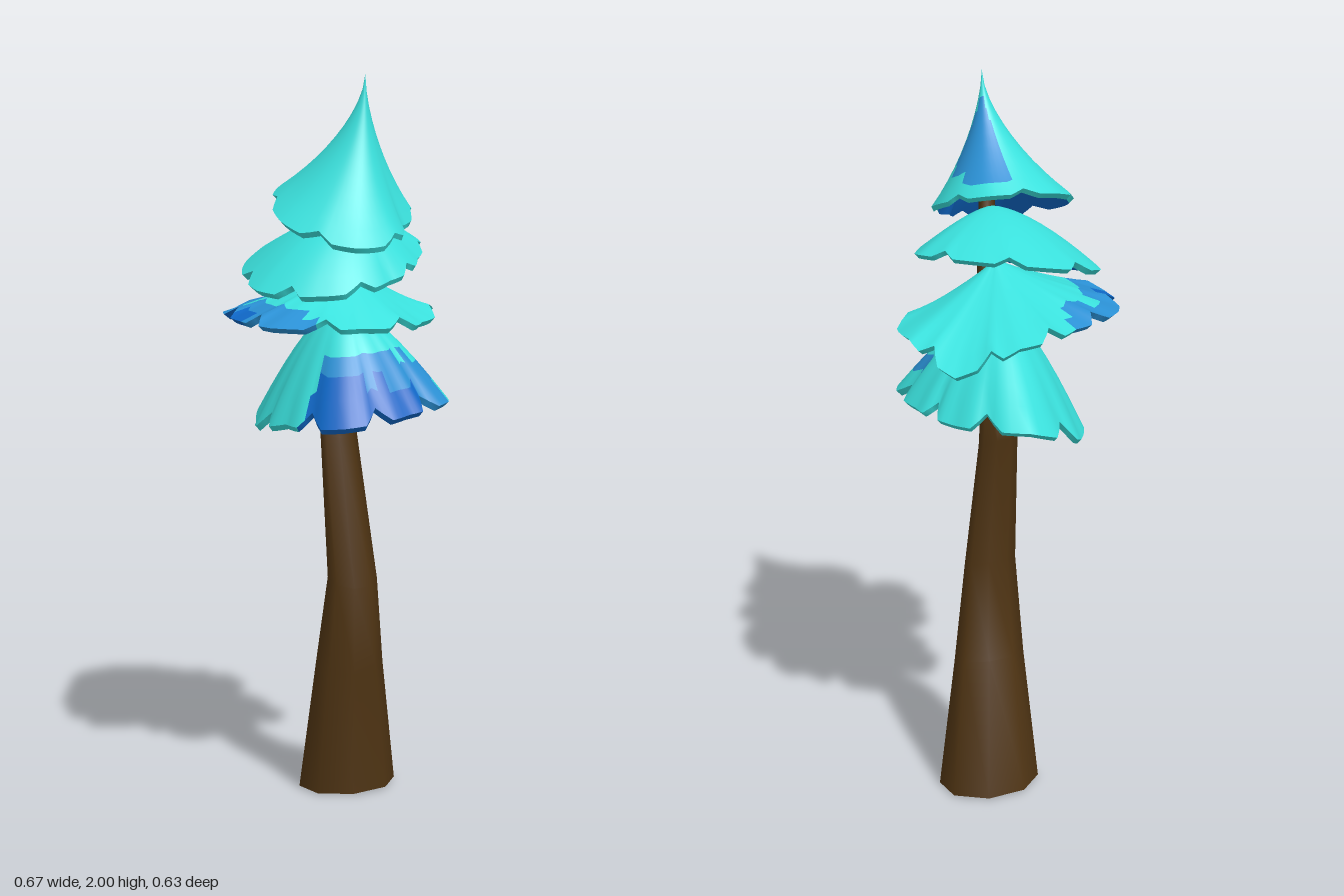
import * as THREE from 'three';

const mat = (name, color) => {
  const m = new THREE.MeshStandardMaterial({ color });
  m.name = name;
  return m;
};

// Surface over rows of closed rings; pick(centre) returns the material slot of each quad
function loft(rings, flip, pick = () => 0) {
  const n = rings[0].length;
  const lists = [[], [], []];
  for (let i = 0; i < rings.length - 1; i++) {
    for (let j = 0; j < n; j++) {
      const k = (j + 1) % n;
      const a = i * n + j, b = i * n + k, c = a + n, d = b + n;
      const mid = rings[i][j].clone().lerp(rings[i + 1][k], 0.5);
      lists[pick(mid)].push(...(flip ? [c, a, d, d, a, b] : [c, d, a, d, b, a]));
    }
  }
  const g = new THREE.BufferGeometry().setFromPoints(rings.flat());
  g.setIndex(lists.flat());
  let start = 0;
  lists.forEach((l, s) => {
    if (l.length) g.addGroup(start, l.length, s);
    start += l.length;
  });
  g.computeVertexNormals();
  return g;
}

// Leaf tiers. tips: lobe [x, z, extra height], from +x round by the back.
// tilt: rim height, slope along x, slope along z. power: below 1 flares out, above 1 is domed.
const TIERS = [
  {
    name: 'topLeaves', apex: [0, 2, 0.155], tilt: [1.685, 0.1, -0.36], power: 0.6, notch: 0.07,
    tips: [[0.16, 0.1], [0.09, -0.055], [-0.11, -0.075], [-0.24, 0.11], [-0.14, 0.305], [0.06, 0.24]],
    pick: (p) => (p.y > 1.74 && p.y < 1.92 && p.x > 0.005 && p.z < 0.14 ? 1 : 0),
  },
  {
    name: 'upperLeaves', apex: [0, 1.64, 0.1], tilt: [1.51, 0.2, -0.17], power: 1.6, notch: 0.08,
    tips: [[0.25, 0.04], [0.17, -0.11], [-0.02, -0.195], [-0.22, -0.1], [-0.29, 0.07], [-0.2, 0.22], [0, 0.265], [0.15, 0.19]],
    pick: () => 0,
  },
  {
    name: 'middleLeaves', apex: [0, 1.5, 0.08], tilt: [1.35, -0.04, -0.03], power: 0.85, notch: 0.1,
    tips: [[0.325, -0.05, 0.02], [0.28, -0.23, -0.05], [0.1, -0.25], [-0.1, -0.19], [-0.27, -0.12],
      [-0.335, 0.05], [-0.335, 0.195], [-0.1, 0.27], [0.15, 0.21]],
    pick: (p) => (p.x < -0.28 && p.z < 0.06 ? 2 : p.x < -0.225 || (p.x < -0.1 && p.z < -0.09) ? 1 : 0),
  },
  {
    name: 'lowerLeaves', apex: [0.01, 1.38, 0.04], tilt: [1.095, 0.13, 0], power: 1.6, notch: 0.14,
    tips: [[0.265, 0.04], [0.235, -0.12], [0.1, -0.31, 0.03], [-0.13, -0.17, -0.04], [-0.185, 0.05],
      [-0.13, 0.24], [0.06, 0.275], [0.21, 0.255]],
    pick: (p) => (p.z < 0.11 || p.y > 1.25 || p.x > 0.2 ? 0 : p.y < 1.19 && p.x < 0.12 ? 2 : 1),
  },
];

// Rim of rounded lobes: radius sweeps from tip to tip with a V notch halfway
function lobedRim({ apex, tilt, tips, notch }) {
  const steps = 10;
  const [ax, , az] = apex;
  const polar = tips.map(([x, z, lift = 0]) => ({
    angle: Math.atan2(az - z, x - ax), radius: Math.hypot(x - ax, z - az), lift,
  }));
  return polar.flatMap((p, i) => {
    const q = polar[(i + 1) % polar.length];
    const turn = (q.angle - p.angle + Math.PI * 2) % (Math.PI * 2);
    return Array.from({ length: steps }, (_, s) => {
      const t = s / steps;
      const cut = Math.max(0, 1 - Math.abs(t - 0.5) * 5) * notch;
      const r = THREE.MathUtils.lerp(p.radius, q.radius, t) * (1 - cut);
      const a = p.angle + turn * t;
      const x = ax + Math.cos(a) * r, z = az - Math.sin(a) * r;
      const lift = THREE.MathUtils.lerp(p.lift, q.lift, t) + cut * 0.25;
      return new THREE.Vector3(x, tilt[0] + tilt[1] * x + tilt[2] * z + lift, z);
    });
  });
}

function makeTier(tier, colours) {
  const top = new THREE.Vector3(...tier.apex);
  const edge = lobedRim(tier);
  // Notches fade towards the apex by blending with an averaged rim
  const n = edge.length, w = 5;
  const soft = edge.map((_, j) => {
    const v = new THREE.Vector3();
    for (let k = -w; k <= w; k++) v.add(edge[(j + k + n) % n]);
    return v.divideScalar(2 * w + 1);
  });
  const outer = Array.from({ length: 11 }, (_, i) => {
    const r = (i / 10) ** 1.5;
    const drop = r ** tier.power;
    return edge.map((e, j) => {
      const p = soft[j].clone().lerp(e, r * r).sub(top);
      return p.multiply(new THREE.Vector3(r, drop, r)).add(top);
    });
  });
  // Underside sits slightly inside the top surface
  const inner = outer.map((ring) => ring.map((p) => new THREE.Vector3(
    top.x + (p.x - top.x) * 0.95, p.y - 0.014, top.z + (p.z - top.z) * 0.95)));
  const group = new THREE.Group();
  group.name = tier.name;
  const add = (label, geo, material) => {
    const m = new THREE.Mesh(geo, material);
    m.name = label;
    group.add(m);
  };
  add('leafTop', loft(outer, false, tier.pick), colours);
  add('leafEdge', loft([outer.at(-1), inner.at(-1)], false, tier.pick), colours);
  add('leafUnderside', loft(inner, true), colours[2]);
  return group;
}

// Crooked trunk: rings of [y, centre x, centre z, radius x, radius z], slanted most at the bends
function makeTrunk(material) {
  const rows = [
    [1.75, -0.01, 0.15, 0.016, 0.016], [1.5, -0.005, 0.135, 0.03, 0.03], [1.15, 0.03, 0, 0.053, 0.036],
    [1.02, 0.053, -0.035, 0.056, 0.038], [0.625, 0.026, 0.067, 0.075, 0.053],
    [0.37, 0.062, 0.005, 0.1, 0.081], [0.004, 0.085, -0.037, 0.145, 0.116],
  ];
  const rings = rows.map(([y, cx, cz, rx, rz], i) => Array.from({ length: 8 }, (_, j) => {
    const a = ((j + 0.5) / 8) * Math.PI * 2;
    const dz = -Math.sin(a) * rz;
    const slant = 0.45 * Math.sin((i / (rows.length - 1)) * Math.PI);
    return new THREE.Vector3(cx + Math.cos(a) * rx, y - dz * slant, cz + dz);
  }));
  const trunk = new THREE.Group();
  trunk.name = 'trunk';
  const bark = new THREE.Mesh(loft(rings, false), material);
  bark.name = 'bark';
  // Base cap
  const foot = rings.at(-1);
  const centre = foot.map(() => new THREE.Vector3(0.085, 0, -0.037));
  const base = new THREE.Mesh(loft([foot, centre], false), material);
  base.name = 'trunkBase';
  trunk.add(bark, base);
  return trunk;
}

export function createModel() {
  const tree = new THREE.Group();
  tree.name = 'tree';
  const colours = [mat('turquoise', 0x3ae0dc), mat('midBlue', 0x2a90d4), mat('deepBlue', 0x0f68c8)];
  tree.add(makeTrunk(mat('barkBrown', 0x4f3413)));
  TIERS.forEach((t) => tree.add(makeTier(t, colours)));
  return tree;
}
